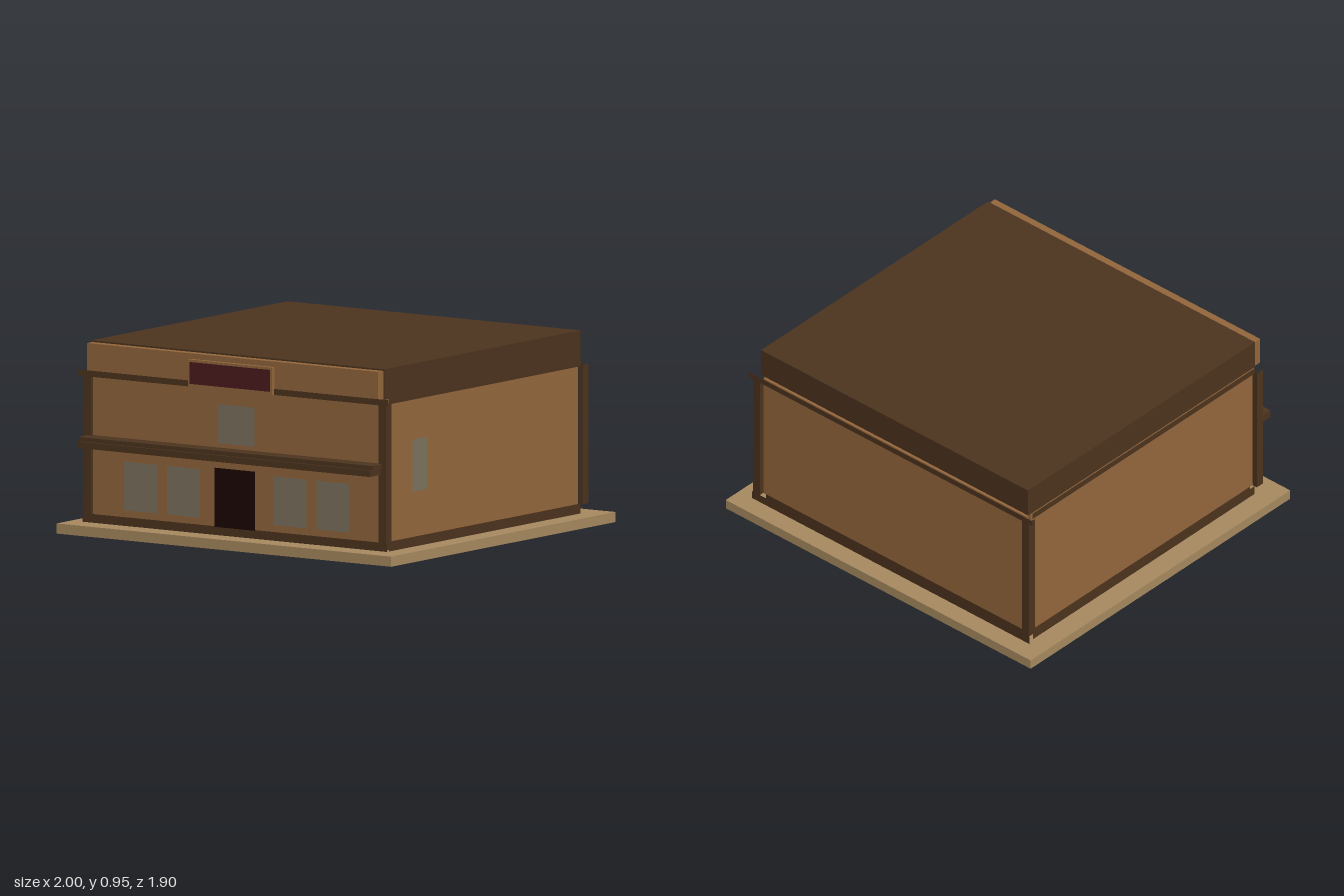
import * as THREE from 'three';

const paint = (name, color) => {
  const m = new THREE.MeshStandardMaterial({ color });
  m.name = name;
  return m;
};

export function createModel() {
  const group = new THREE.Group();
  const wood = paint('wall wood', 0x93663c);
  const trim = paint('dark trim', 0x4c331e);
  const ground = paint('boardwalk', 0xa6895f);
  const glass = paint('window glass', 0x7c725e);
  const doorPaint = paint('door', 0x1c0404);
  const signPaint = paint('sign red', 0x4a191b);

  // Box given by its minimum and maximum on each axis
  const box = (name, mat, x0, x1, y0, y1, z0, z1) => {
    const mesh = new THREE.Mesh(new THREE.BoxGeometry(x1 - x0, y1 - y0, z1 - z0), mat);
    mesh.position.set((x0 + x1) / 2, (y0 + y1) / 2, (z0 + z1) / 2);
    mesh.name = name;
    group.add(mesh);
  };

  // Thin one-sided board facing front, back, right (+x) or left (-x), at a signed depth
  const turns = { front: 0, right: Math.PI / 2, back: Math.PI, left: -Math.PI / 2 };
  const board = (name, mat, side, a0, a1, y0, y1, depth) => {
    const mesh = new THREE.Mesh(new THREE.PlaneGeometry(Math.abs(a1 - a0), y1 - y0), mat);
    const a = (a0 + a1) / 2, y = (y0 + y1) / 2;
    if (side === 'front' || side === 'back') mesh.position.set(a, y, depth);
    else mesh.position.set(depth, y, a);
    mesh.rotation.y = turns[side];
    mesh.name = name;
    group.add(mesh);
  };

  // Boardwalk and walls with notched corners
  box('boardwalk', ground, -1, 1, 0, 0.05, -0.95, 0.95);
  box('foundation', trim, -0.86, 0.86, 0.05, 0.1, -0.81, 0.81);
  box('frontAndBackWalls', wood, -0.86, 0.86, 0.095, 0.785, -0.829, 0.84);
  box('sideWalls', wood, -0.875, 0.875, 0.095, 0.8, -0.81, 0.81);

  // Baseboards and cornices, front and back then left and right
  for (const [side, s] of [['front', 1], ['back', -1]]) {
    board('baseboard', trim, side, -0.91, 0.91, 0.055, 0.097, s * 0.857);
    board('cornice', trim, side, -0.93, 0.93, 0.778, 0.808, s * (s > 0 ? 0.878 : 0.86));
  }
  for (const [side, s] of [['right', 1], ['left', -1]]) {
    board('baseboard', trim, side, -0.81, 0.81, 0.05, 0.097, s * 0.89);
    board('cornice', trim, side, -0.815, 0.815, 0.776, 0.808, s * 0.89);
  }

  // Corner posts: outer faces and the short returns towards the walls
  for (const sx of [-1, 1]) {
    for (const sz of [-1, 1]) {
      const faceX = sx > 0 ? 'right' : 'left', innerX = sx > 0 ? 'left' : 'right';
      const faceZ = sz > 0 ? 'front' : 'back', innerZ = sz > 0 ? 'back' : 'front';
      board('cornerPost', trim, faceZ, sx * 0.86, sx * 0.905, 0.097, 0.785, sz * 0.857);
      board('cornerPost', trim, faceX, sz * 0.811, sz * 0.857, 0.097, 0.785, sx * 0.905);
      board('cornerPostReturn', trim, innerX, sz * 0.83, sz * 0.857, 0.097, 0.785, sx * 0.86);
      board('cornerPostReturn', trim, innerZ, sx * 0.878, sx * 0.905, 0.097, 0.785, sz * 0.811);
    }
  }

  // Roof block and front parapet
  box('roof', trim, -0.876, 0.876, 0.8, 0.95, -0.83, 0.83);
  box('parapet', wood, -0.87, 0.87, 0.8, 0.942, 0.83, 0.875);

  // Sign with frame
  box('signFrame', wood, -0.25, 0.25, 0.778, 0.915, 0.875, 0.897);
  board('signPanel', signPaint, 'front', -0.24, 0.24, 0.795, 0.903, 0.899);

  // Canopy over the ground floor
  box('canopySlab', trim, -0.88, 0.88, 0.462, 0.485, 0.84, 0.935);
  box('canopyFascia', trim, -0.873, 0.873, 0.432, 0.464, 0.84, 0.947);

  // Door and windows
  board('door', doorPaint, 'front', -0.12, 0.122, 0.095, 0.387, 0.86);
  for (const x of [-0.572, -0.315, 0.323, 0.58]) {
    board('frontWindow', glass, 'front', x - 0.099, x + 0.099, 0.13, 0.37, 0.846);
  }
  board('upperWindow', glass, 'front', -0.11, 0.11, 0.507, 0.7, 0.846);
  board('sideWindow', glass, 'right', 0.478, 0.598, 0.32, 0.577, 0.881);

  return group;
}
